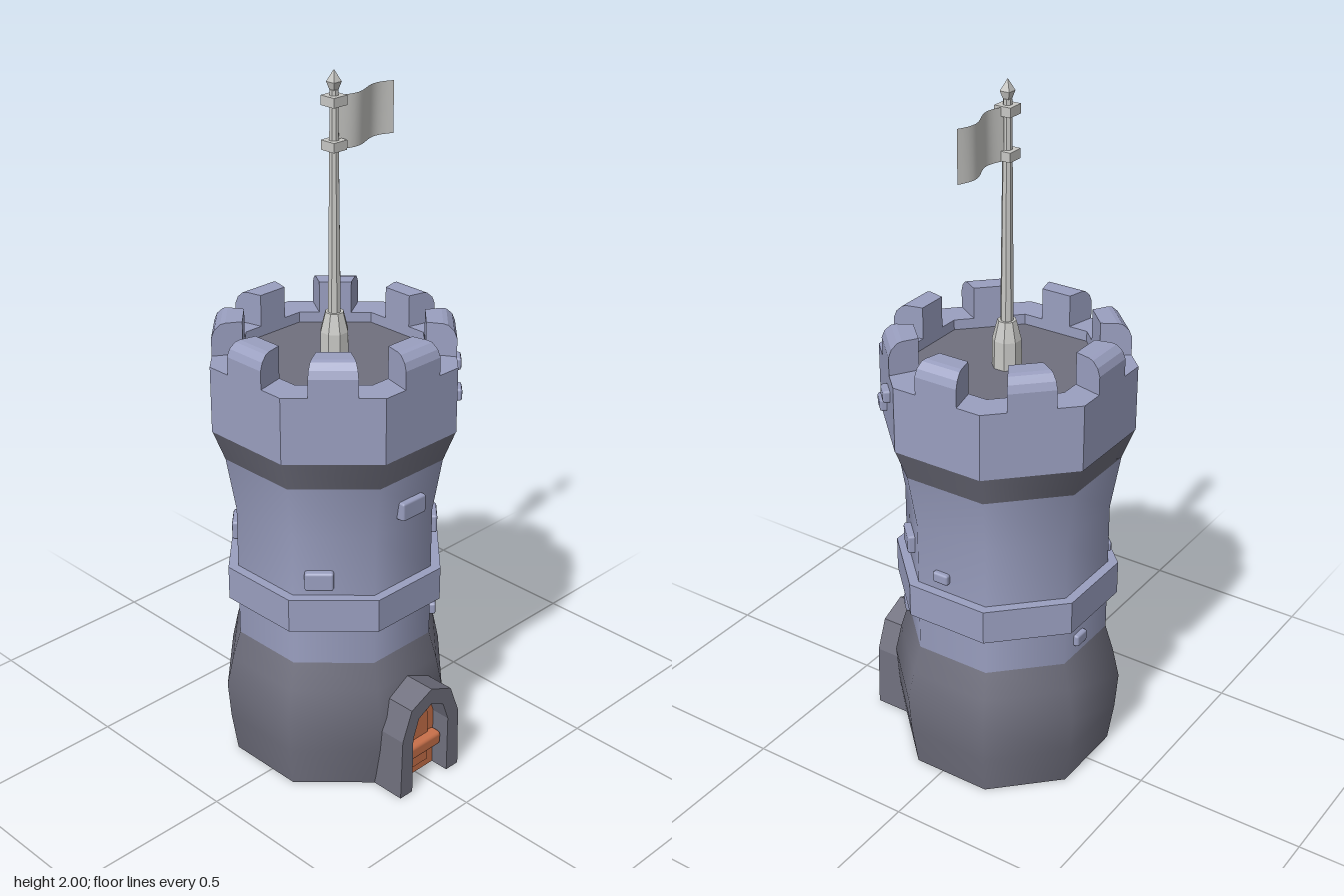
import * as THREE from 'three';
import { RoundedBoxGeometry } from 'three/addons/geometries/RoundedBoxGeometry.js';

const mat = (name, color) => {
  const m = new THREE.MeshStandardMaterial({ color });
  m.name = name;
  return m;
};

export function createModel() {
  const stone = mat('lavender stone', 0x9a9fc0);
  const dark = mat('dark stone', 0x70707e);
  const wood = mat('orange wood', 0xc8704a);
  const metal = mat('pale grey', 0xc8c8c5);
  metal.side = THREE.DoubleSide;

  const model = new THREE.Group();
  model.name = 'tower';
  const body = new THREE.Group();
  body.name = 'towerBody';
  body.position.z = -0.03;
  model.add(body);

  const add = (name, geo, material, x = 0, y = 0, z = 0) => {
    const m = new THREE.Mesh(geo, material);
    m.name = name;
    m.position.set(x, y, z);
    body.add(m);
    return m;
  };
  const K = 1 / Math.cos(Math.PI / 8); // flat-to-flat radius to corner radius
  const flat = (g) => {
    const n = g.index ? g.toNonIndexed() : g;
    n.computeVertexNormals();
    return n;
  };
  // Smooth octagonal wall through [radius, height] points
  const wall = (pts) => new THREE.LatheGeometry(
    pts.map(([r, y]) => new THREE.Vector2(r * K, y)), 8, Math.PI / 8);
  // Faceted octagonal block from y0 to y1
  const block = (r0, r1, y0, y1) => flat(new THREE.CylinderGeometry(
    r1 * K, r0 * K, y1 - y0, 8, 1, false, Math.PI / 8).translate(0, (y0 + y1) / 2, 0));
  const octagon = (r, Type) => {
    const p = [];
    for (let i = 0; i < 8; i++) {
      const a = (i + 0.5) * Math.PI / 4;
      p.push(new THREE.Vector2(Math.cos(a) * r * K, Math.sin(a) * r * K));
    }
    return new Type(p);
  };
  const extrude = (shape, depth) => new THREE.ExtrudeGeometry(shape, { depth, bevelEnabled: false });

  // Walls
  add('baseWall', wall([[0.285, 0], [0.302, 0.12], [0.31, 0.23], [0.292, 0.32], [0.27, 0.4]]), dark);
  add('baseBottom', block(0.284, 0.285, 0, 0.01), dark);
  add('lowerShaft', wall([[0.27, 0.4], [0.27, 0.53]]), stone);
  add('beltCourse', block(0.297, 0.297, 0.52, 0.62), stone);
  add('upperShaft', wall([[0.27, 0.61], [0.27, 0.8], [0.295, 0.96]]), stone);
  add('corbel', wall([[0.295, 0.96], [0.327, 1.05]]), dark);

  // Parapet ring and roof floor
  const ring = octagon(0.328, THREE.Shape);
  ring.holes.push(octagon(0.245, THREE.Path));
  add('parapet', extrude(ring, 0.19).rotateX(-Math.PI / 2), stone, 0, 1.05, 0);
  add('roofFloor', block(0.247, 0.247, 1.1, 1.21), dark);

  // Merlons at the middle of each side, rounded outward and wider outside
  const profile = [[0.245, 1.24], [0.328, 1.24], [0.328, 1.292], [0.32, 1.313], [0.303, 1.329],
    [0.29, 1.332], [0.245, 1.332]];
  const merlon = extrude(new THREE.Shape(profile.map(([x, y]) => new THREE.Vector2(x, y))), 1);
  const mp = merlon.attributes.position;
  for (let i = 0; i < mp.count; i++) {
    const half = 0.045 + (mp.getX(i) - 0.245) / 0.083 * 0.02;
    mp.setZ(i, (mp.getZ(i) - 0.5) * 2 * half);
  }
  merlon.computeVertexNormals();
  for (let k = 0; k < 8; k++) add('merlon', merlon, stone).rotation.y = k * Math.PI / 4;

  // Raised bricks: side angle, sideways offset, height, wall radius, width, height
  [
    [0, 0.01, 0.855, 0.28, 0.09, 0.055],
    [45, 0.015, 0.705, 0.27, 0.085, 0.056],
    [45, -0.045, 0.45, 0.27, 0.05, 0.036],
    [45, 0.045, 1.18, 0.327, 0.055, 0.036],
    [45, -0.025, 1.12, 0.327, 0.055, 0.036],
    [90, -0.03, 0.665, 0.265, 0.05, 0.032],
    [180, -0.04, 0.45, 0.265, 0.05, 0.036],
    [225, 0, 0.69, 0.27, 0.085, 0.056],
    [225, -0.07, 0.655, 0.265, 0.05, 0.032],
    [-45, -0.04, 0.67, 0.27, 0.08, 0.055],
  ].forEach(([deg, t, y, r, w, h]) => {
    const a = deg * Math.PI / 180, s = Math.sin(a), c = Math.cos(a);
    add('brick', new RoundedBoxGeometry(w, h, 0.04, 1, 0.007), stone,
      s * r + c * t, y, c * r - s * t).rotation.y = a;
  });

  // Door arch: mirrored half outlines
  const arch = (half) => [...half, ...half.filter(([x]) => x > 0).reverse().map(([x, y]) => [-x, y])];
  const toShape = (pts) => new THREE.Shape(pts.map(([x, y]) => new THREE.Vector2(x, y)));
  const outer = arch([[0.12, 0], [0.115, 0.19], [0.08, 0.28], [0, 0.315]]);
  const inner = arch([[0.072, 0], [0.072, 0.18], [0.05, 0.24], [0, 0.265]]);
  add('doorFrame', extrude(toShape([...outer, ...inner.reverse()]), 0.157), dark, 0, 0, 0.23);
  add('door', extrude(toShape(inner), 0.1), wood, 0, 0, 0.23);
  add('doorPanel', extrude(toShape(arch([[0.04, 0.03], [0.04, 0.19], [0.028, 0.222], [0, 0.235]])), 0.009),
    wood, 0, 0, 0.33);
  add('doorBar', new RoundedBoxGeometry(0.144, 0.045, 0.04, 2, 0.012), wood, 0, 0.103, 0.345);

  // Flagpole
  add('poleBase', block(0.038, 0.037, 1.21, 1.29), metal);
  add('poleFoot', block(0.037, 0.024, 1.29, 1.345), metal);
  add('pole', block(0.017, 0.011, 1.33, 1.95), metal);
  for (const y of [1.805, 1.922]) {
    add('poleClamp', new THREE.BoxGeometry(0.048, 0.026, 0.048), metal, 0, y, 0);
  }
  const spike = (r0, r1, y0, y1) => flat(new THREE.CylinderGeometry(r1, r0, y1 - y0, 4, 1, false, Math.PI / 4)
    .translate(0, (y0 + y1) / 2, 0));
  add('finialLower', spike(0.01, 0.02, 1.945, 1.97), metal);
  add('finialTip', spike(0.02, 0.001, 1.97, 2), metal);

  // Waving flag
  const cloth = new THREE.PlaneGeometry(0.205, 0.142, 14, 1).translate(0.1175, 1.861, 0);
  const fp = cloth.attributes.position;
  for (let i = 0; i < fp.count; i++) {
    fp.setZ(i, 0.016 * Math.sin((fp.getX(i) - 0.015) / 0.205 * Math.PI * 2));
  }
  cloth.computeVertexNormals();
  add('flag', cloth, metal);

  return model;
}
